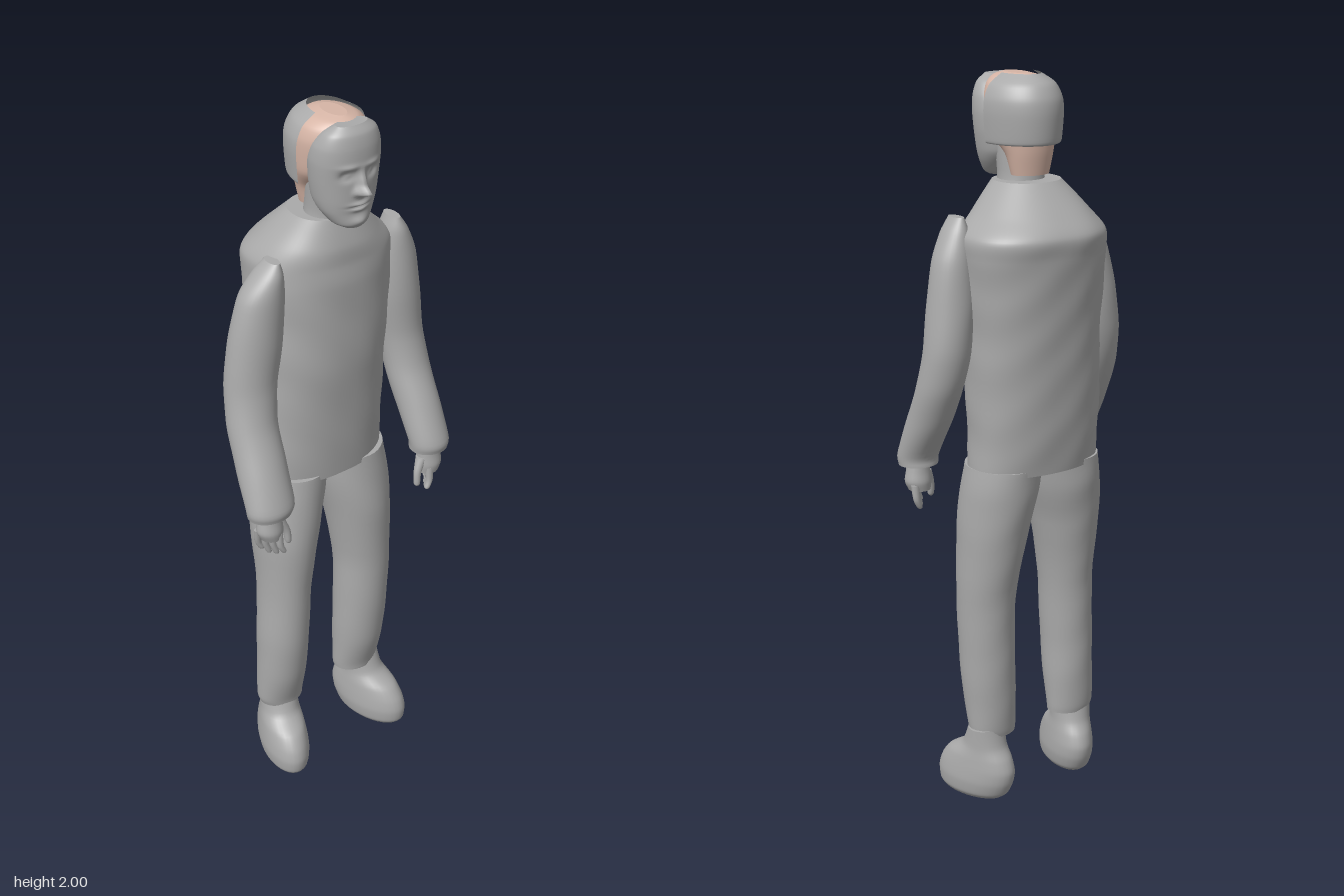
import * as THREE from 'three';

const mat = (name, color, side = THREE.FrontSide) => {
  const m = new THREE.MeshStandardMaterial({ color, side });
  m.name = name;
  return m;
};

// Smooth loft through rows of [y, centreX, centreZ, radiusX, radiusZ], listed from bottom to top.
function loft(rows, { n = 32, steps = 5, power = 2, from = 0, to = Math.PI * 2, shape = null } = {}) {
  const a = new THREE.CatmullRomCurve3(rows.map(r => new THREE.Vector3(r[1], r[0], r[2])), false, 'catmullrom', 0.4);
  const b = new THREE.CatmullRomCurve3(rows.map(r => new THREE.Vector3(r[3], r[4], 0)), false, 'catmullrom', 0.4);
  const closed = to - from > 6.28, cols = closed ? n : n + 1, count = (rows.length - 1) * steps;
  const pos = [], idx = [];
  const bend = v => Math.sign(v) * Math.pow(Math.abs(v), 2 / power);
  for (let i = 0; i <= count; i++) {
    const c = a.getPoint(i / count), r = b.getPoint(i / count);
    for (let j = 0; j < cols; j++) {
      const t = from + (to - from) * j / n;
      const p = new THREE.Vector3(c.x + r.x * bend(Math.cos(t)), c.y, c.z + r.y * bend(Math.sin(t)));
      if (shape) shape(p, c);
      pos.push(p.x, p.y, p.z);
    }
  }
  for (let i = 0; i < count; i++) for (let j = 0; j < n; j++) {
    const k = (j + 1) % cols, v = i * cols;
    idx.push(v + j, v + cols + j, v + k, v + k, v + cols + j, v + cols + k);
  }
  // End caps with their own vertices, so the rims stay crisp
  if (closed) for (const end of [0, count]) {
    const base = pos.length / 3, c = a.getPoint(end / count);
    pos.push(c.x, c.y, c.z, ...pos.slice(end * cols * 3, (end + 1) * cols * 3));
    for (let j = 0; j < n; j++) {
      const p = base + 1 + j, q = base + 1 + (j + 1) % n;
      idx.push(base, ...(end ? [q, p] : [p, q]));
    }
  }
  const g = new THREE.BufferGeometry();
  g.setAttribute('position', new THREE.Float32BufferAttribute(pos, 3));
  g.setIndex(idx);
  g.computeVertexNormals();
  return g;
}

// Gentle creases in the cloth
const cloth = (p, c) => {
  const w = 1 + 0.012 * Math.sin(p.y * 31 + p.x * 17) * Math.sin(p.x * 23 - p.z * 19 + p.y * 9);
  p.x = c.x + (p.x - c.x) * w;
  p.z = c.z + (p.z - c.z) * w;
};

// Facial relief: bumps and hollows pushed along z
const bump = (p, x, y, sx, sy) => Math.exp(-(((p.x - x) / sx) ** 2) - ((p.y - y) / sy) ** 2);
const face = (p, c) => {
  if (p.z < c.z) return;
  const x = 0.005;
  let d = 0.036 * bump(p, x, 1.832, 0.013, 0.013) + 0.02 * bump(p, x, 1.855, 0.009, 0.024);
  d += 0.008 * bump(p, x, 1.795, 0.024, 0.006) + 0.007 * bump(p, x, 1.781, 0.02, 0.006);
  d -= 0.006 * bump(p, x, 1.788, 0.026, 0.003);
  d += 0.008 * bump(p, x, 1.748, 0.022, 0.012);
  for (const s of [-1, 1]) {
    d -= 0.013 * bump(p, x + s * 0.035, 1.873, 0.018, 0.012);
    d += 0.007 * bump(p, x + s * 0.034, 1.872, 0.01, 0.006);
    d += 0.005 * bump(p, x + s * 0.034, 1.896, 0.024, 0.007);
    d += 0.008 * bump(p, x + s * 0.014, 1.828, 0.007, 0.007);
  }
  p.z += d;
};

export function createModel() {
  const grey = mat('grey', 0xaaaaaa);
  const greyOpen = grey;
  greyOpen.side = THREE.DoubleSide;
  const skin = mat('skin', 0xd6b5a6);
  const model = new THREE.Group();
  model.name = 'figure';
  const add = (name, geometry, material = grey, parent = model) => {
    const m = new THREE.Mesh(geometry, material);
    m.name = name;
    parent.add(m);
    return m;
  };

  // Jacket body with sloping shoulders
  add('jacket', loft([
    [0.965, 0.005, -0.02, 0.19, 0.118], [1.1, 0.005, -0.025, 0.19, 0.13],
    [1.3, 0.01, -0.026, 0.19, 0.143], [1.45, 0.015, -0.033, 0.195, 0.152],
    [1.55, 0.018, -0.038, 0.2, 0.157], [1.605, 0.02, -0.042, 0.198, 0.156],
    [1.655, 0.01, -0.022, 0.155, 0.134], [1.73, 0.003, 0.008, 0.088, 0.084],
  ], { n: 56, steps: 8, power: 2.25, shape: cloth }));

  // Sleeves, bent forward at the elbow
  add('rightSleeve', loft([
    [0.97, -0.262, 0.138, 0.062, 0.05], [1.0, -0.26, 0.137, 0.069, 0.053], [1.1, -0.253, 0.087, 0.069, 0.063],
    [1.2, -0.246, 0.042, 0.069, 0.063], [1.3, -0.232, 0.019, 0.072, 0.063], [1.42, -0.214, 0.018, 0.075, 0.062],
    [1.54, -0.196, 0.021, 0.064, 0.055], [1.6, -0.178, 0.025, 0.038, 0.045], [1.635, -0.165, 0.027, 0.014, 0.028],
  ], { shape: cloth }));
  add('leftSleeve', loft([
    [0.97, 0.268, 0.138, 0.055, 0.05], [1.0, 0.268, 0.137, 0.058, 0.053], [1.1, 0.264, 0.087, 0.06, 0.063],
    [1.2, 0.259, 0.042, 0.062, 0.063], [1.3, 0.25, 0.019, 0.064, 0.063], [1.42, 0.236, 0.018, 0.065, 0.062],
    [1.54, 0.227, 0.021, 0.054, 0.055], [1.61, 0.217, 0.025, 0.034, 0.045], [1.65, 0.21, 0.027, 0.014, 0.03],
  ], { shape: cloth }));

  // Trouser legs
  add('rightTrouserLeg', loft([
    [0.185, -0.145, 0.006, 0.066, 0.052], [0.21, -0.147, 0.006, 0.07, 0.056], [0.3, -0.145, 0.014, 0.072, 0.07],
    [0.42, -0.143, 0.018, 0.073, 0.078], [0.6, -0.134, 0.015, 0.073, 0.085], [0.78, -0.122, 0.003, 0.09, 0.105],
    [0.9, -0.103, -0.01, 0.1, 0.113], [0.98, -0.09, -0.016, 0.1, 0.112],
  ], { shape: cloth }));
  add('leftTrouserLeg', loft([
    [0.185, 0.122, 0.006, 0.066, 0.052], [0.21, 0.124, 0.006, 0.07, 0.056], [0.3, 0.127, 0.014, 0.074, 0.07],
    [0.42, 0.131, 0.018, 0.078, 0.078], [0.6, 0.135, 0.015, 0.08, 0.085], [0.78, 0.122, 0.003, 0.094, 0.105],
    [0.9, 0.108, -0.01, 0.102, 0.113], [0.98, 0.098, -0.016, 0.1, 0.112],
  ], { shape: cloth }));

  for (const [side, s, footX, handX] of [['right', -1, -0.15, -0.26], ['left', 1, 0.145, 0.265]]) {
    // Shoe, with the toe turned out
    const shoe = add(side + 'Shoe', loft([
      [0, 0, 0.052, 0.052, 0.1], [0.015, 0, 0.049, 0.062, 0.115], [0.05, 0, 0.042, 0.067, 0.125],
      [0.085, 0, 0.034, 0.065, 0.122], [0.12, 0, 0.026, 0.061, 0.103], [0.155, 0, 0.01, 0.056, 0.066],
      [0.21, 0, 0.004, 0.055, 0.046],
    ]));
    shoe.position.set(footX, 0, 0);
    shoe.rotation.y = s * 0.27;

    // Hand: palm, four curled fingers and a thumb
    const hand = new THREE.Group();
    hand.name = side + 'Hand';
    hand.position.set(handX, 0, 0.14);
    model.add(hand);
    add('palm', loft([
      [0.895, 0, 0, 0.03, 0.03], [0.92, s * 0.004, 0, 0.037, 0.034],
      [0.95, s * 0.003, 0, 0.034, 0.03], [1.0, 0, 0, 0.028, 0.026],
    ], { n: 20 }), grey, hand);
    for (let i = 0; i < 4; i++) {
      const x = s * (0.027 - i * 0.012), z = -0.025 + i * 0.017, tip = 0.836 + Math.abs(i - 1.4) * 0.008;
      add('finger', loft([
        [tip, x - s * 0.012, z + 0.002, 0.003, 0.003], [tip + 0.006, x - s * 0.011, z + 0.002, 0.008, 0.008],
        [0.875, x - s * 0.002, z, 0.01, 0.009], [0.915, x, z * 0.8, 0.012, 0.01],
      ], { n: 10, steps: 3 }), grey, hand);
    }
    add('thumb', loft([
      [0.862, -s * 0.045, 0.014, 0.003, 0.003], [0.87, -s * 0.045, 0.014, 0.009, 0.009],
      [0.905, -s * 0.041, 0.01, 0.011, 0.011], [0.945, -s * 0.022, 0.002, 0.016, 0.016],
    ], { n: 12, steps: 3 }), grey, hand);
  }

  // Neck and head
  add('neck', loft([
    [1.68, 0.005, 0.03, 0.072, 0.066], [1.74, 0.005, 0.03, 0.062, 0.06], [1.82, 0.006, 0.04, 0.066, 0.06],
  ]));
  add('scalp', loft([
    [1.745, 0.006, -0.012, 0.054, 0.04], [1.8, 0.006, -0.008, 0.068, 0.052], [1.85, 0.007, 0.02, 0.088, 0.084],
    [1.9, 0.007, 0.025, 0.093, 0.098], [1.94, 0.007, 0.03, 0.092, 0.1], [1.972, 0.007, 0.036, 0.08, 0.09],
    [1.99, 0.007, 0.043, 0.056, 0.073], [1.999, 0.007, 0.046, 0.025, 0.045],
  ], { n: 40 }), skin);
  add('face', loft([
    [1.728, 0.005, 0.13, 0.028, 0.022], [1.74, 0.005, 0.115, 0.05, 0.043], [1.77, 0.005, 0.1, 0.071, 0.058],
    [1.8, 0.006, 0.09, 0.082, 0.071], [1.85, 0.007, 0.088, 0.09, 0.074], [1.9, 0.007, 0.09, 0.093, 0.076],
    [1.94, 0.007, 0.098, 0.088, 0.066], [1.972, 0.007, 0.11, 0.072, 0.046], [1.992, 0.007, 0.118, 0.045, 0.022],
  ], { n: 96, steps: 10, power: 2.15, shape: face }));

  // Half-dome hair shell at the back, open on top
  add('backHair', loft([
    [1.825, 0.008, 0.04, 0.098, 0.128], [1.835, 0.008, 0.04, 0.102, 0.134], [1.9, 0.008, 0.04, 0.107, 0.139],
    [1.94, 0.008, 0.04, 0.104, 0.135], [1.975, 0.008, 0.04, 0.087, 0.116], [2, 0.008, 0.04, 0.05, 0.08],
  ], { from: Math.PI, to: Math.PI * 2 }), greyOpen);

  return model;
}
